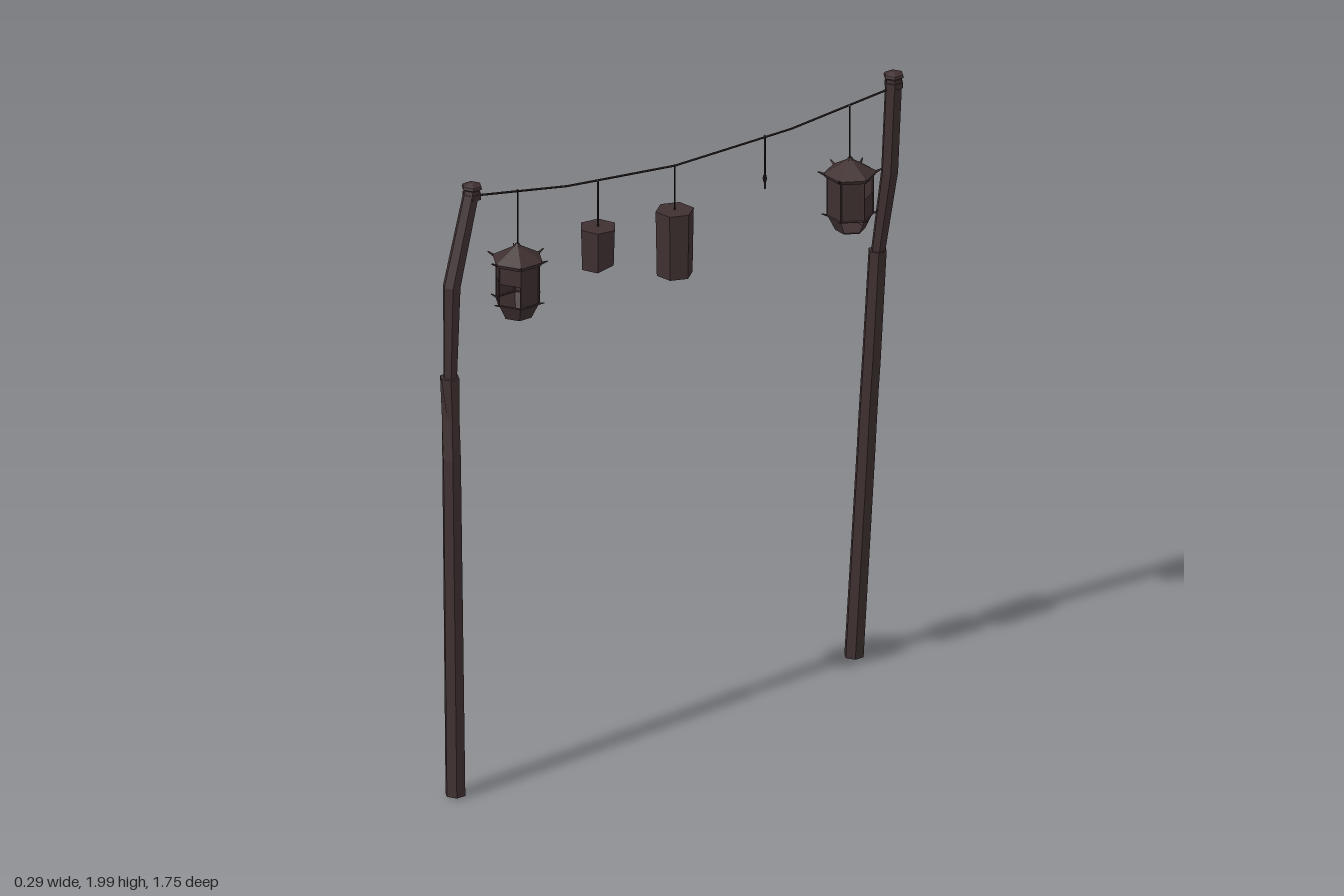
import * as THREE from 'three';

const wood = new THREE.MeshStandardMaterial({ color: 0x3f3031, flatShading: true });
wood.name = 'dark wood';
wood.side = THREE.DoubleSide;
const cord = new THREE.MeshStandardMaterial({ color: 0x211b1c });
cord.name = 'black cord';

const RAD = Math.PI / 180;

function toGeometry(tris) {
  const g = new THREE.BufferGeometry();
  g.setAttribute('position', new THREE.Float32BufferAttribute(tris.flat(2), 3));
  g.computeVertexNormals();
  return g;
}

// hexagon of radius r; cut limits how far it reaches in z on the side of its sign
function ring([x, y, z, r, cut = 0], phase) {
  return Array.from({ length: 6 }, (_, k) => {
    const a = (phase + k * 60) * RAD;
    let dz = r * Math.sin(a);
    if (cut > 0) dz = Math.min(dz, cut);
    if (cut < 0) dz = Math.max(dz, cut);
    return [x + r * Math.cos(a), y, z + dz];
  });
}

// side quads between two rings, leaving out the listed sides
function sides(low, high, missing = []) {
  const tris = [];
  for (let k = 0; k < 6; k++) {
    if (missing.includes(k)) continue;
    const m = (k + 1) % 6;
    tris.push([low[k], high[k], high[m]], [low[k], high[m], low[m]]);
  }
  return tris;
}

// hexagonal sections [x, y, z, radius, cut] joined from bottom to top, with caps
function loft(sections, phase = 0) {
  const rings = sections.map((s) => ring(s, phase));
  const last = rings.length - 1;
  const tris = [];
  for (let i = 0; i < last; i++) tris.push(...sides(rings[i], rings[i + 1]));
  for (let k = 1; k < 5; k++) {
    tris.push([rings[0][0], rings[0][k], rings[0][k + 1]]);
    tris.push([rings[last][0], rings[last][k + 1], rings[last][k]]);
  }
  return toGeometry(tris);
}

function add(parent, name, geometry, material = wood) {
  const mesh = new THREE.Mesh(geometry, material);
  mesh.name = name;
  parent.add(mesh);
  return mesh;
}

// thin straight rod between two points
function rod(parent, name, from, to, r0, r1, material) {
  const a = new THREE.Vector3(...from), b = new THREE.Vector3(...to);
  const mesh = add(parent, name, new THREE.CylinderGeometry(r1, r0, a.distanceTo(b), 5), material);
  mesh.position.copy(a).add(b).multiplyScalar(0.5);
  mesh.quaternion.setFromUnitVectors(new THREE.Vector3(0, 1, 0), b.clone().sub(a).normalize());
}

// notched lower pole, thinner bent upper pole, and a stepped cap
function post(name, lower, upper) {
  const g = new THREE.Group();
  g.name = name;
  add(g, 'lowerPole', loft(lower, 30));
  add(g, 'upperPole', loft(upper, 30));
  const [x, y, z] = upper[upper.length - 1];
  add(g, 'poleCollar', loft([[x, y - 0.03, z, 0.031], [x, y - 0.012, z, 0.031]], 30));
  add(g, 'poleCap', loft([
    [x, y - 0.004, z, 0.018], [x, y + 0.006, z, 0.034], [x, y + 0.014, z, 0.031], [x, y + 0.023, z, 0.01],
  ], 30));
  return g;
}

// roofed lantern; open lists the missing sides of the base, lower and upper panels
function roofedLantern(name, x, z, phase, open) {
  const g = new THREE.Group();
  g.name = name;
  g.position.set(x, 0, z);
  add(g, 'roof', loft([[0, 1.688, 0, 0.078], [0, 1.7, 0, 0.084], [0, 1.742, 0, 0.012], [0, 1.752, 0, 0.006]], phase));
  add(g, 'floor', loft([[0, 1.51, 0, 0.047], [0, 1.514, 0, 0.048]], phase));
  const levels = [[1.512, 0.0475], [1.56, 0.071], [1.632, 0.071], [1.69, 0.071]].map(([y, r]) => ring([0, y, 0, r], phase));
  ['basePanels', 'lowerPanels', 'upperPanels'].forEach((part, i) => {
    add(g, part, toGeometry(sides(levels[i], levels[i + 1], open[i])));
  });
  // corner bars, rails and pointed tips
  for (let k = 0; k < 6; k++) {
    rod(g, 'cornerBar', levels[1][k], levels[3][k], 0.003, 0.003, wood);
    rod(g, 'bottomRail', levels[1][k], levels[1][(k + 1) % 6], 0.003, 0.003, wood);
    const c = Math.cos((phase + 60 * k) * RAD), s = Math.sin((phase + 60 * k) * RAD);
    rod(g, 'roofTip', [c * 0.078, 1.697, s * 0.078], [c * 0.1, 1.708, s * 0.1], 0.005, 0.002, wood);
    rod(g, 'baseTip', [c * 0.066, 1.558, s * 0.066], [c * 0.088, 1.566, s * 0.088], 0.004, 0.002, wood);
  }
  return g;
}

export function createModel() {
  const model = new THREE.Group();
  model.name = 'lanternLine';

  // two leaning poles, each with a notch cut into its outer side
  model.add(post('frontPost',
    [[0.023, 0.01, 0.842, 0.033], [-0.02, 1.12, 0.824, 0.031], [-0.028, 1.25, 0.823, 0.031, 0.012], [-0.035, 1.385, 0.82, 0.032]],
    [[-0.034, 1.36, 0.819, 0.022], [-0.05, 1.68, 0.8, 0.029], [-0.066, 1.975, 0.71, 0.026]]));
  model.add(post('backPost',
    [[-0.082, 0.005, -0.782, 0.032], [-0.045, 0.7, -0.8, 0.031], [-0.04, 0.8, -0.802, 0.031, -0.018],
      [-0.033, 0.92, -0.805, 0.031, -0.015], [-0.029, 1.0, -0.808, 0.031], [-0.008, 1.385, -0.817, 0.03]],
    [[-0.01, 1.36, -0.817, 0.023], [0.033, 1.66, -0.832, 0.028], [0.046, 1.975, -0.838, 0.028]]));

  // sagging line in straight lengths
  const line = [[-0.062, 1.953, 0.7], [-0.043, 1.9, 0.36], [-0.02, 1.87, -0.04], [0.034, 1.903, -0.45], [0.044, 1.942, -0.83]];
  for (let i = 0; i < 4; i++) rod(model, 'line', line[i], line[i + 1], 0.0035, 0.0035, cord);

  // hanging cords [x, z, top, bottom]
  for (const [x, z, top, bottom] of [
    [-0.057, 0.54, 1.928, 1.74], [-0.03, 0.25, 1.892, 1.73], [-0.02, -0.04, 1.87, 1.72],
    [0.018, -0.36, 1.896, 1.72], [0.042, -0.67, 1.925, 1.74],
  ]) {
    rod(model, 'hangingCord', [x, bottom, z], [x, top, z], 0.003, 0.003, cord);
    add(model, 'cordKnot', new THREE.OctahedronGeometry(0.006), cord).position.set(x, top, z);
  }
  add(model, 'emptyHook', loft([[0.018, 1.742, -0.36, 0.004], [0.018, 1.755, -0.36, 0.007], [0.018, 1.768, -0.36, 0.004]]), cord);

  // roofed lanterns with broken panels
  model.add(roofedLantern('frontRoofedLantern', -0.057, 0.54, 30, [[4], [0, 1], [3]]));
  model.add(roofedLantern('backRoofedLantern', 0.042, -0.672, 0, [[0], [3], [5]]));

  // short lantern with a slanted lower edge
  const short = loft([[0, -0.065, 0, 0.056], [0, 0.063, 0, 0.06]], 38);
  const p = short.attributes.position;
  for (let i = 0; i < p.count; i++) {
    const x = p.getX(i), z = p.getZ(i);
    if (p.getY(i) < 0) p.setY(i, -0.065 - z * 0.15 + Math.max(0, -z) * 0.3 + Math.max(0, -x) * 0.3);
  }
  short.computeVertexNormals();
  add(model, 'shortLantern', short).position.set(-0.029, 1.677, 0.25);

  // tall lantern
  add(model, 'tallLantern', loft([[-0.02, 1.507, -0.04, 0.057], [-0.02, 1.722, -0.04, 0.061]], -8));

  return model;
}
